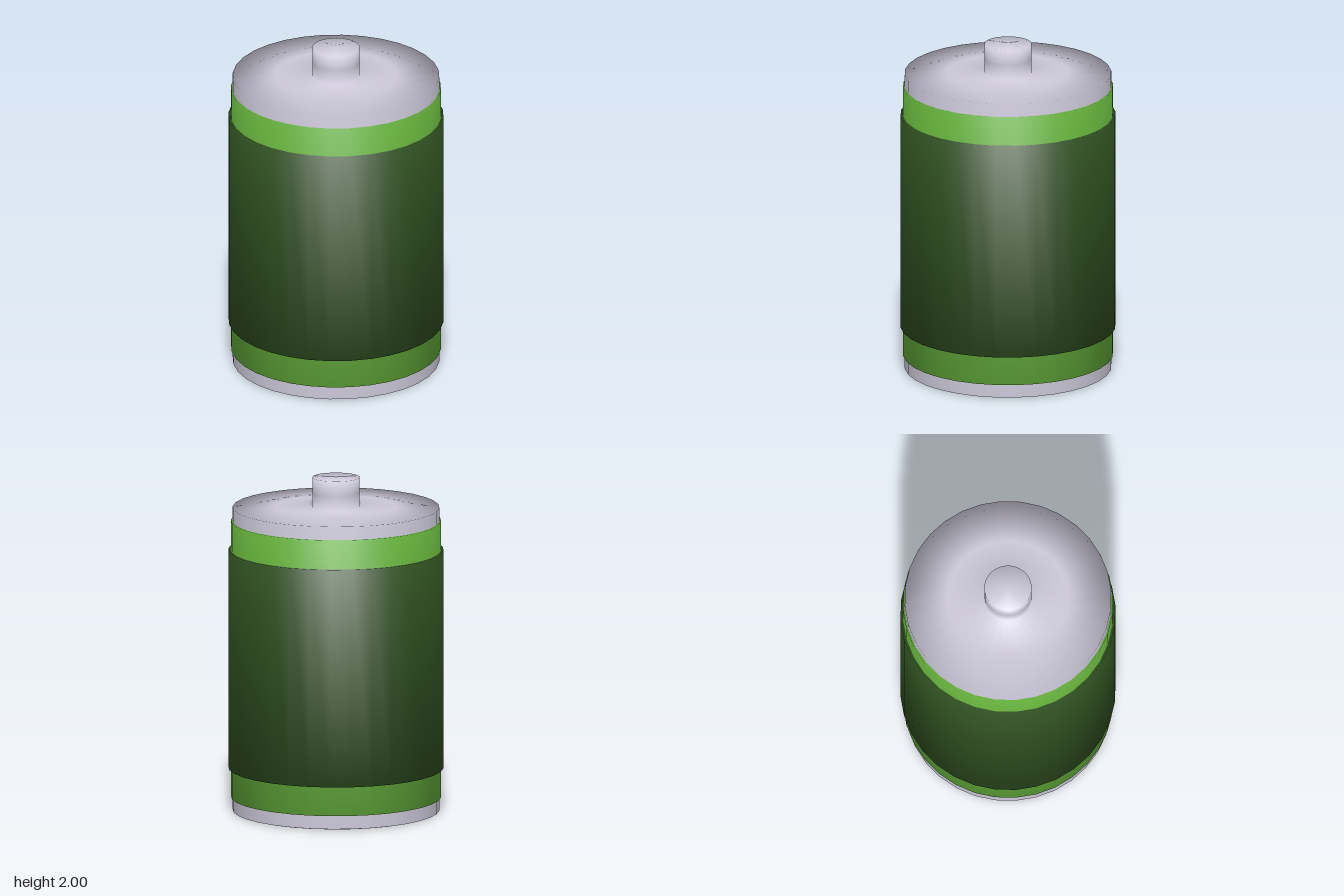
import * as THREE from 'three';

const SIDES = 32;

// Smooth turned part from a bottom-to-top profile of [radius, height]
function turned(name, color, profile) {
  const points = profile.map(([r, y]) => new THREE.Vector2(r, y));
  const mesh = new THREE.Mesh(
    new THREE.LatheGeometry(points, SIDES),
    new THREE.MeshStandardMaterial({ color })
  );
  mesh.name = name;
  return mesh;
}

// Closed cylinder profile
const drum = (r, y0, y1) => [[0, y0], [r, y0], [r, y1], [0, y1]];

export function createModel() {
  const group = new THREE.Group();
  group.name = 'battery';

  // Metal can with a flat base, a broad lid and the raised terminal
  group.add(turned('metalCan', 0xcdc9da, [
    [0, 0], [0.59, 0], [0.61, 0.005],
    [0.61, 1.82], [0.36, 1.82], [0.14, 1.82],
    [0.14, 1.91], [0.14, 2], [0, 2],
  ]));

  // Light green wrapper, showing as a band above and below the sleeve
  group.add(turned('wrapper', 0x66b23c, drum(0.62, 0.085, 1.74)));

  // Dark green outer sleeve
  group.add(turned('sleeve', 0x2f5020, drum(0.635, 0.26, 1.565)));

  return group;
}
